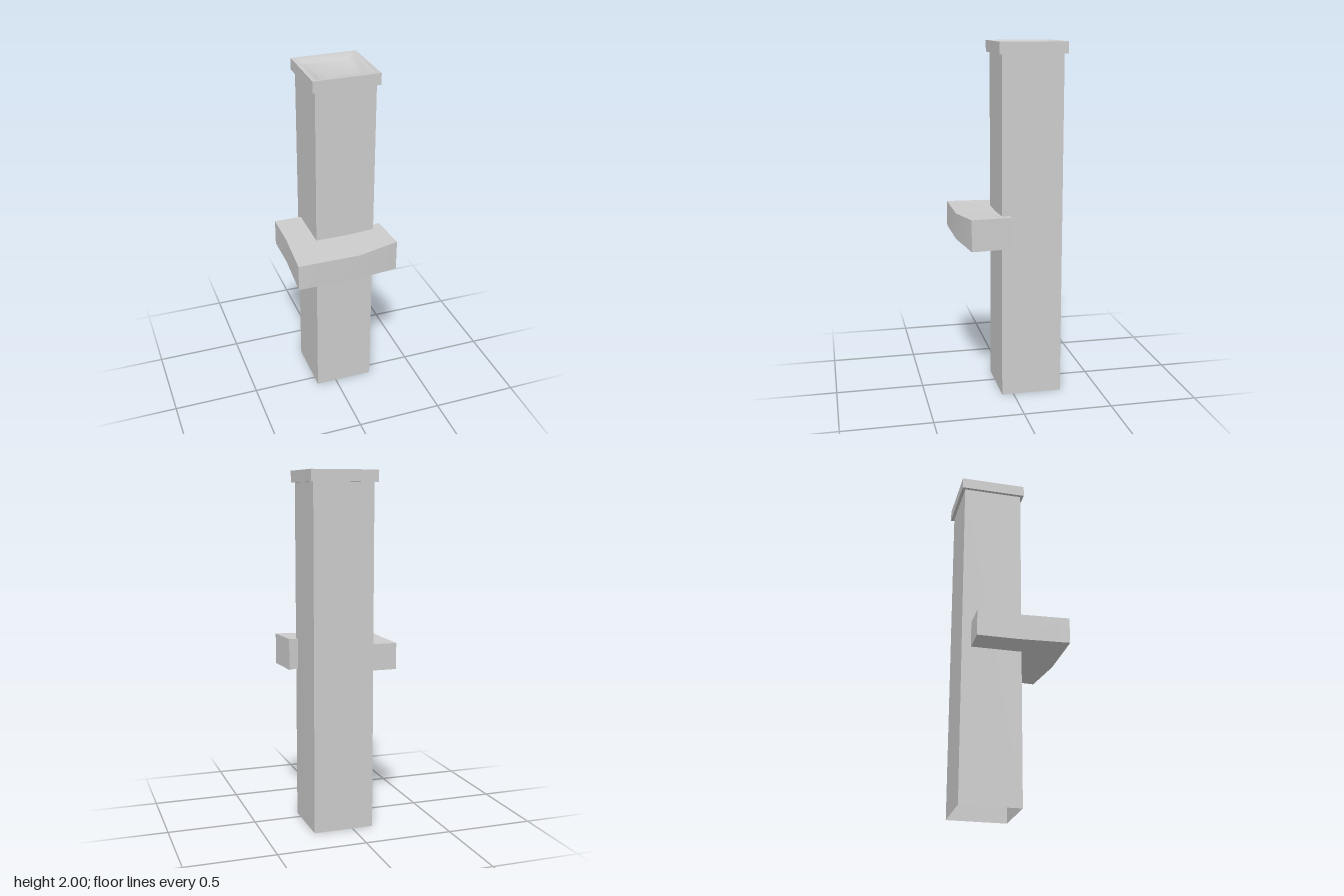
import * as THREE from 'three';
import { toCreasedNormals } from 'three/addons/utils/BufferGeometryUtils.js';

// Joins four-cornered cross-sections into a skin, optionally closed at its ends.
function loft(rings, closeStart, closeEnd, crease = 0.7) {
  const pos = [];
  const quad = (a, b, c, d) => pos.push(...a, ...b, ...c, ...a, ...c, ...d);
  for (let i = 0; i < rings.length - 1; i++) {
    for (let k = 0; k < 4; k++) {
      const n = (k + 1) % 4;
      quad(rings[i][k], rings[i + 1][k], rings[i + 1][n], rings[i][n]);
    }
  }
  if (closeStart) quad(...rings[0]);
  if (closeEnd) quad(...[...rings[rings.length - 1]].reverse());
  const geo = new THREE.BufferGeometry();
  geo.setAttribute('position', new THREE.Float32BufferAttribute(pos, 3));
  return toCreasedNormals(geo, crease);
}

// Square section of half-width h at height y, on the post's axis.
const CX = 0.053, CZ = -0.106;
const square = (h, y) => [[1, 1], [-1, 1], [-1, -1], [1, -1]].map(([sx, sz]) => [CX + sx * h, y, CZ + sz * h]);

export function createModel() {
  const group = new THREE.Group();
  const grey = new THREE.MeshStandardMaterial({ color: 0xcccccc });
  const greyOpen = new THREE.MeshStandardMaterial({ color: 0xcccccc, side: THREE.DoubleSide });
  const add = (name, geo, mat) => {
    const mesh = new THREE.Mesh(geo, mat);
    mesh.name = name;
    group.add(mesh);
  };

  // Hollow square post, open at the bottom
  add('post', loft([square(0.172, 0), square(0.172, 1.94)], false, false), greyOpen);

  // Cap with a narrow rim around a shallow dished top
  const H = 0.19;
  add('cap', loft([
    square(H, 1.935), square(H, 2), square(H - 0.025, 2),
    square(H - 0.055, 1.975), square(H - 0.09, 1.958), square(H - 0.13, 1.955),
  ], true, true, 0.85), grey);

  // Bracket wrapping the front and one side: outer x, z, inner x, z, bottom, top
  const stations = [
    [-0.278, -0.225, -0.05, -0.225, 0.895, 1.045],
    [-0.278, 0, -0.05, 0, 0.895, 1.045],
    [-0.298, 0.296, -0.06, 0.06, 0.895, 1.045],
    [0.055, 0.296, 0.05, 0.06, 0.895, 1.045],
    [0.297, 0.249, 0.28, 0.017, 0.88, 1.058],
  ];
  add('bracket', loft(stations.map(([ox, oz, ix, iz, b, t]) =>
    [[ox, b, oz], [ox, t, oz], [ix, t, iz], [ix, b, iz]]), true, true), grey);

  return group;
}
